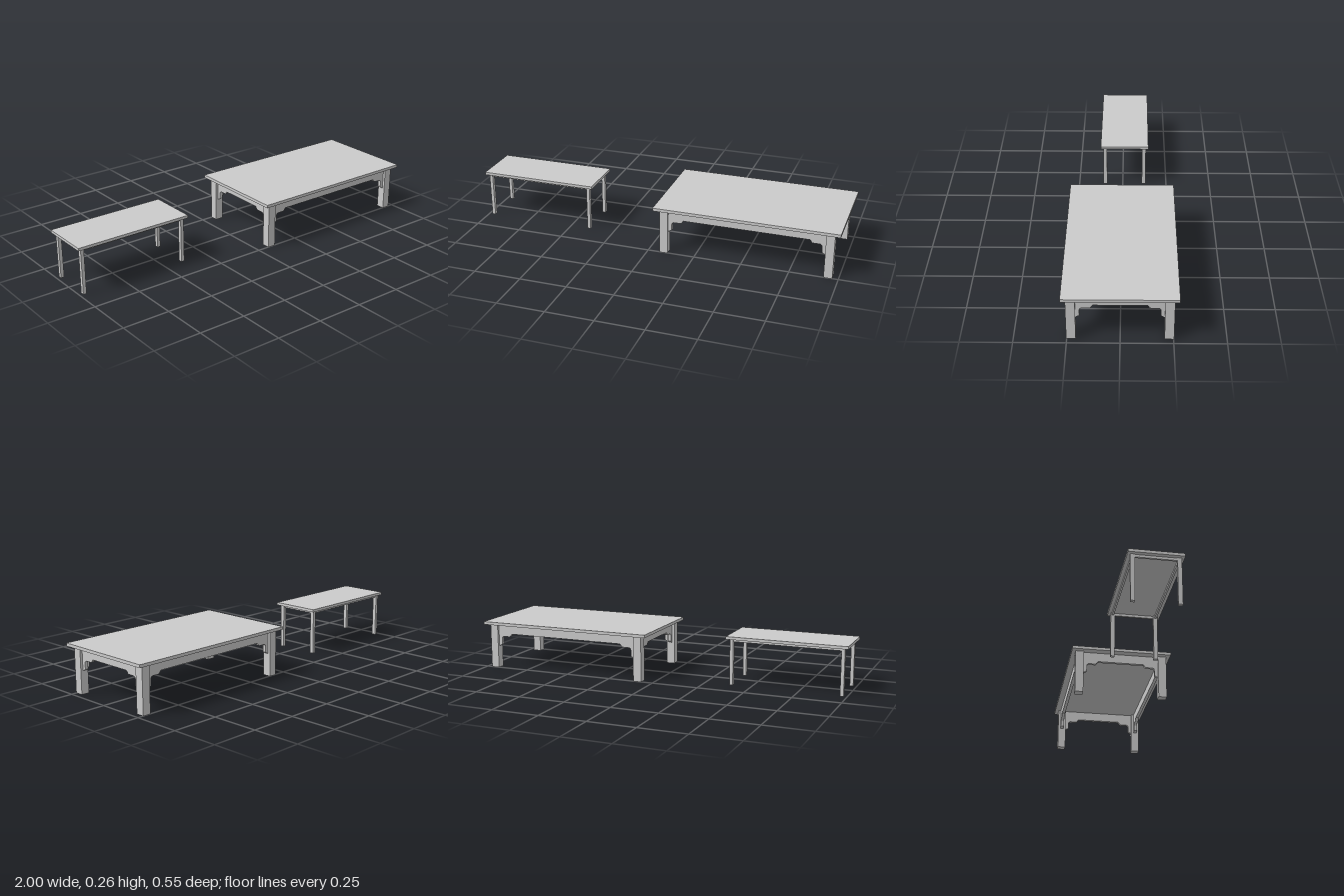
import * as THREE from 'three';

const material = new THREE.MeshStandardMaterial({ color: 0xcccccc, flatShading: true });

function add(parent, name, geometry, x, y, z, turn = 0) {
  const mesh = new THREE.Mesh(geometry, material);
  mesh.name = name;
  mesh.position.set(x, y, z);
  mesh.rotation.y = turn;
  parent.add(mesh);
  return mesh;
}

// Apron board with a stepped, rounded bracket at each end, centred on its length
function bracketApron(half, thickness) {
  const s = new THREE.Shape();
  s.moveTo(-half, 0.241);
  s.lineTo(-half, 0.12);
  s.lineTo(-half + 0.019, 0.13);
  s.lineTo(-half + 0.019, 0.16);
  s.quadraticCurveTo(-half + 0.019, 0.175, -half + 0.034, 0.175);
  s.lineTo(-half + 0.065, 0.175);
  s.quadraticCurveTo(-half + 0.073, 0.176, -half + 0.075, 0.183);
  s.lineTo(-half + 0.081, 0.191);
  s.lineTo(half - 0.081, 0.191);
  s.lineTo(half - 0.075, 0.183);
  s.quadraticCurveTo(half - 0.073, 0.176, half - 0.065, 0.175);
  s.lineTo(half - 0.034, 0.175);
  s.quadraticCurveTo(half - 0.019, 0.175, half - 0.019, 0.16);
  s.lineTo(half - 0.019, 0.13);
  s.lineTo(half, 0.12);
  s.lineTo(half, 0.241);
  s.closePath();
  const g = new THREE.ExtrudeGeometry(s, { depth: thickness, bevelEnabled: false, curveSegments: 6 });
  return g.translate(0, 0, -thickness / 2);
}

// Plain apron board
function plainApron(half, thickness) {
  return new THREE.BoxGeometry(half * 2, 0.013, thickness).translate(0, 0.2355, 0);
}

function table(name, p) {
  const g = new THREE.Group();
  g.name = name;
  add(g, 'tableTop', new THREE.BoxGeometry(p.width, p.topThickness, p.depth), 0, 0.257 - p.topThickness / 2, 0);
  const legHeight = 0.257 - p.topThickness;
  for (const sx of [-1, 1]) {
    for (const sz of [-1, 1]) {
      add(g, 'leg', new THREE.BoxGeometry(p.legX, legHeight, p.legZ), sx * p.x, legHeight / 2, sz * p.z);
    }
  }
  // Aprons run between the inner faces of the legs
  for (const s of [-1, 1]) {
    add(g, 'longApron', p.apron(p.x - p.legX / 2, p.apronThickness), 0, 0, s * p.z);
    add(g, 'shortApron', p.apron(p.z - p.legZ / 2, p.apronThickness), s * p.x, 0, 0, Math.PI / 2);
  }
  return g;
}

export function createModel() {
  const model = new THREE.Group();
  model.name = 'twoTables';

  const large = table('largeTable', {
    width: 0.967, depth: 0.547, topThickness: 0.016,
    x: 0.4315, z: 0.23, legX: 0.044, legZ: 0.045,
    apron: bracketApron, apronThickness: 0.018,
  });
  large.position.x = 0.5165;

  const small = table('smallTable', {
    width: 0.635, depth: 0.268, topThickness: 0.015,
    x: 0.29, z: 0.11, legX: 0.018, legZ: 0.021,
    apron: plainApron, apronThickness: 0.01,
  });
  small.position.set(-0.6825, 0, -0.01);

  model.add(large, small);
  return model;
}
